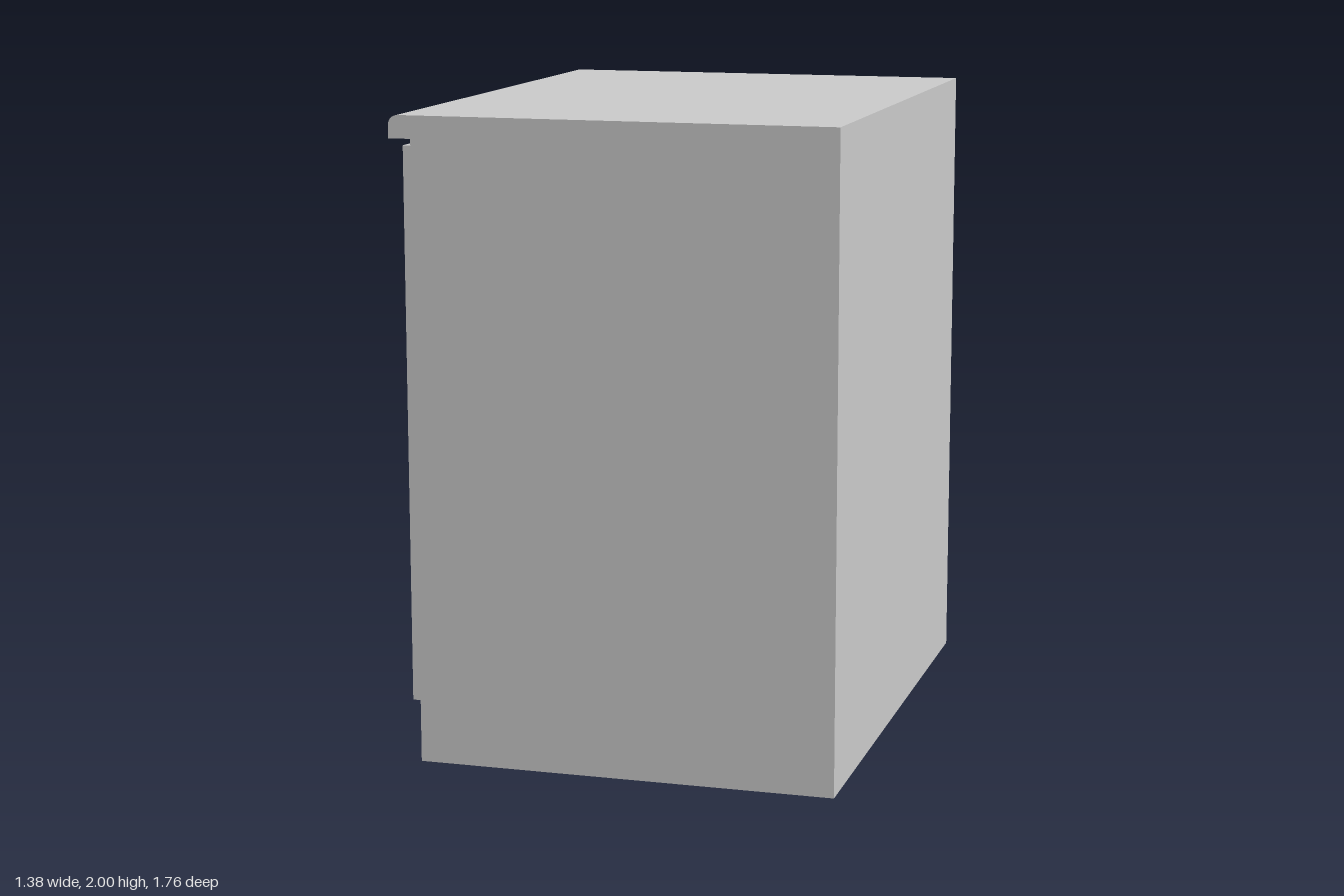
import * as THREE from 'three';

const mat = new THREE.MeshStandardMaterial({ color: 0xcccccc });

function add(parent, geometry, name, x = 0, y = 0, z = 0) {
  const mesh = new THREE.Mesh(geometry, mat);
  mesh.name = name;
  mesh.position.set(x, y, z);
  parent.add(mesh);
  return mesh;
}

function rectPoints(w, h) {
  return [[-w, -h], [w, -h], [w, h], [-w, h]].map(([x, y]) => new THREE.Vector2(x / 2, y / 2));
}

// Framed door with a recessed panel, facing -x from the origin plane
function makeDoor(width, height, depth) {
  const door = new THREE.Group();
  const rim = 0.09, recess = 0.013;
  const shape = new THREE.Shape(rectPoints(width, height));
  shape.holes.push(new THREE.Path(rectPoints(width - 2 * rim, height - 2 * rim).reverse()));
  const frame = new THREE.ExtrudeGeometry(shape, { depth, bevelEnabled: false });
  frame.rotateY(-Math.PI / 2);
  add(door, frame, 'doorFrame');
  const t = depth - recess;
  add(door, new THREE.BoxGeometry(t, height - 2 * rim, width - 2 * rim), 'doorPanel', -t / 2);
  return door;
}

// Bar pull standing off on two posts with small round feet
function makeHandle(length, reach) {
  const handle = new THREE.Group();
  const r = 0.006;
  add(handle, new THREE.CylinderGeometry(r, r, length + 2 * r, 16), 'handleBar', -reach);
  for (const s of [-1, 1]) {
    const post = new THREE.CylinderGeometry(r, r, reach, 16).rotateZ(Math.PI / 2);
    add(handle, post, 'handlePost', -reach / 2, s * length / 2);
    const foot = new THREE.CylinderGeometry(r, 0.011, 0.006, 16).rotateZ(-Math.PI / 2);
    foot.rotateY(Math.PI);
    add(handle, foot, 'handleFoot', -0.003, s * length / 2);
  }
  return handle;
}

export function createModel() {
  const model = new THREE.Group();
  model.name = 'cabinet';
  const front = -0.62, back = 0.69, halfW = 0.88;

  // Carcass
  add(model, new THREE.BoxGeometry(back - front, 1.93, 2 * halfW), 'carcass', (front + back) / 2, 0.965);

  // Worktop with a rounded upper front edge
  const r = 0.03;
  const profile = new THREE.Shape();
  profile.moveTo(-0.69, 1.93);
  profile.lineTo(back, 1.93);
  profile.lineTo(back, 2);
  profile.lineTo(-0.69 + r, 2);
  profile.absarc(-0.69 + r, 2 - r, r, Math.PI / 2, Math.PI, false);
  profile.closePath();
  const top = new THREE.ExtrudeGeometry(profile, { depth: 2 * halfW, bevelEnabled: false, curveSegments: 12 });
  add(model, top, 'worktop', 0, 0, -halfW);

  // Mirrored doors and handles
  const gap = 0.004, thick = 0.025, low = 0.195, high = 1.91;
  for (const s of [-1, 1]) {
    const width = halfW - gap;
    const door = makeDoor(width, high - low, thick);
    door.name = s > 0 ? 'doorA' : 'doorB';
    door.position.set(front, (low + high) / 2, s * (gap / 2 + width / 2));
    model.add(door);

    const handle = makeHandle(0.235, 0.027);
    handle.name = s > 0 ? 'handleA' : 'handleB';
    handle.position.set(front - thick, 1.725, s * 0.05);
    model.add(handle);
  }
  return model;
}
